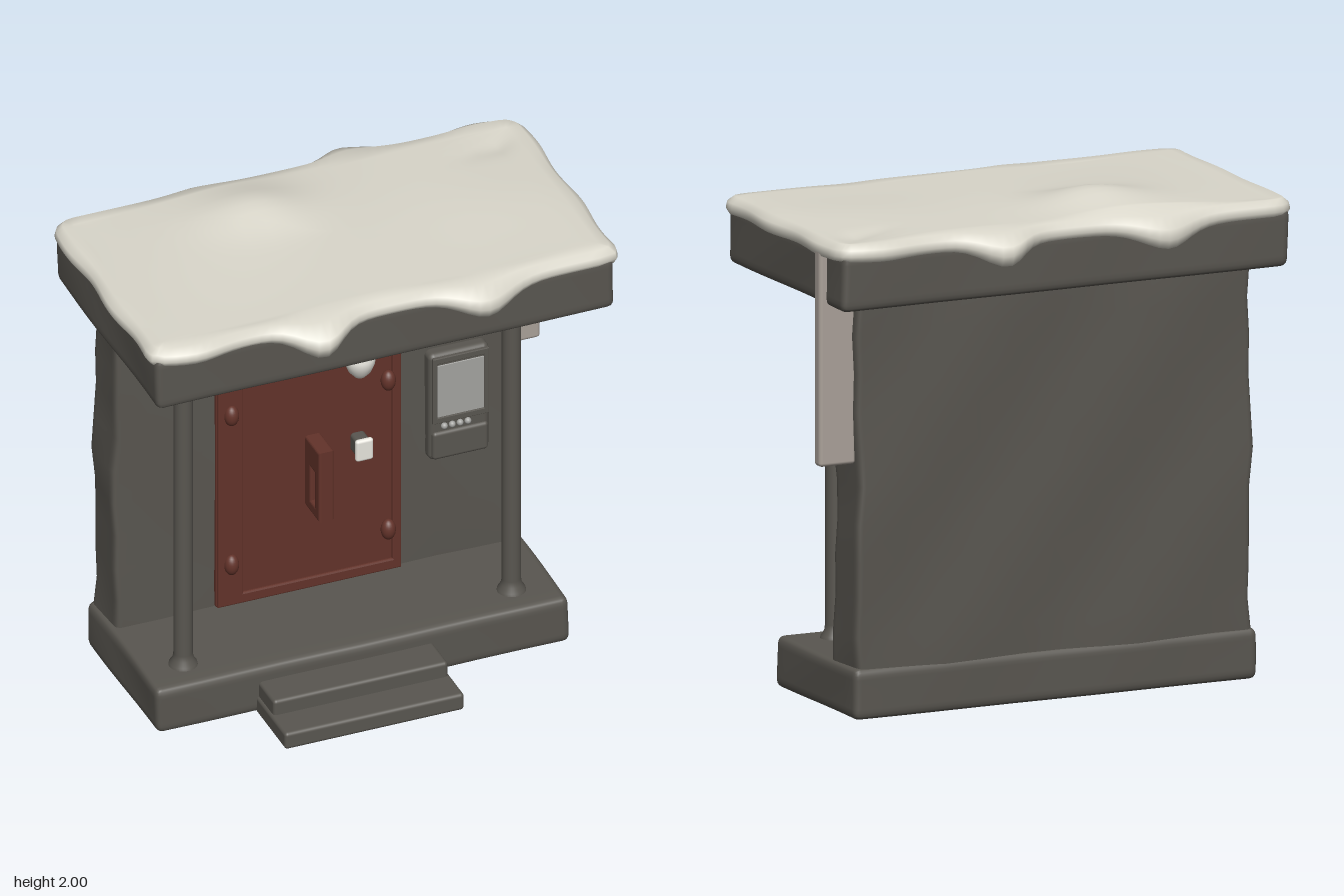
import * as THREE from 'three';
import { mergeVertices } from 'three/addons/utils/BufferGeometryUtils.js';
import { RoundedBoxGeometry } from 'three/addons/geometries/RoundedBoxGeometry.js';

const paint = (name, color) => {
  const m = new THREE.MeshStandardMaterial({ color });
  m.name = name;
  return m;
};
const gauss = (d, w) => Math.exp(-(d * d) / (w * w));
const clamp = THREE.MathUtils.clamp;

// Soft-edged box between two corners, with gently wavy sides like worn stone
function stoneBox([x0, y0, z0], [x1, y1, z1], r, wobble) {
  const n = 14;
  const geo = new THREE.BoxGeometry(1, 1, 1, n, n, n);
  geo.deleteAttribute('normal');
  geo.deleteAttribute('uv');
  const half = [(x1 - x0) / 2, (y1 - y0) / 2, (z1 - z0) / 2];
  const mid = [(x0 + x1) / 2, (y0 + y1) / 2, (z0 + z1) / 2];
  // keep two grid lines inside each rounded edge
  const place = (v, h) => {
    const k = Math.round((v + 0.5) * n);
    const e = Math.min(k, n - k);
    if (e <= 2) return Math.sign(v) * (h - [0, 0.45, 1][e] * r);
    return ((k - n / 2) / (n / 2 - 2)) * (h - r);
  };
  const pos = geo.attributes.position;
  for (let i = 0; i < pos.count; i++) {
    const p = new THREE.Vector3(...half.map((h, a) => place(pos.getComponent(i, a), h)));
    const inner = new THREE.Vector3(...p.toArray().map((v, a) => clamp(v, r - half[a], half[a] - r)));
    const out = p.clone().sub(inner);
    if (out.lengthSq() > 0) p.copy(inner).addScaledVector(out.normalize(), r);
    p.add(new THREE.Vector3(...mid));
    const { x, y, z } = p;
    pos.setXYZ(i,
      x + wobble * Math.sin(y * 11 + z * 7) * Math.sin(y * 4 + 1),
      y,
      z + wobble * 0.5 * Math.sin(x * 8 + y * 6));
  }
  const smooth = mergeVertices(geo, 1e-5);
  smooth.computeVertexNormals();
  return smooth;
}

// Snow blanket made of rings: tucked underside, drooping lip, then the top
function snowGeometry() {
  const hx = 0.975, hz = 0.52, r = 0.07, per = 48;
  const sides = [(u) => [u * hx, hz], (u) => [hx, -u * hz], (u) => [-u * hx, -hz], (u) => [-hx, u * hz]];
  const top = (x, z) => 1.925
    + 0.05 * gauss(Math.hypot(x + 0.23, (z + 0.25) * 1.3), 0.2)
    + 0.025 * gauss(Math.hypot(x + 0.25, z + 0.2), 0.45)
    + 0.015 * gauss(Math.hypot(x - 0.7, z), 0.3)
    + 0.006 * Math.sin(x * 7 + z * 4) - 0.02 * gauss(Math.hypot(x - 0.8, z + 0.35), 0.06);
  const outline = [];
  sides.forEach((side, s) => {
    for (let i = 0; i < per; i++) {
      const [px, pz] = side((i / per) * 2 - 1);
      const ix = clamp(px, r - hx, hx - r), iz = clamp(pz, r - hz, hz - r);
      const len = Math.hypot(px - ix, pz - iz);
      const nx = (px - ix) / len, nz = (pz - iz) / len;
      // the same drips run along front and back, turned half around
      const u = s === 0 ? px : -px;
      const drip = s % 2 === 0
        ? 0.105 * gauss(u + 0.29, 0.12) + 0.07 * gauss(u - 0.39, 0.14) + 0.03 * gauss(u + 0.8, 0.12)
        : 0.008 + 0.008 * Math.sin(pz * 14);
      const sag = s % 2 === 0 ? 0.045 * gauss(u + 0.31, 0.1) + 0.055 * gauss(u - 0.42, 0.14) : 0;
      outline.push({ x: ix + nx * r, z: iz + nz * r, nx, nz, drip, sag });
    }
  });
  const offset = (o, d) => [o.x + o.nx * d, o.z + o.nz * d];
  const ring = (d, y) => (o) => {
    const [x, z] = offset(o, d(o));
    return [x, y(o, x, z), z];
  };
  const rings = [
    ring(() => -0.05, () => 1.85),
    ring((o) => o.drip - 0.005, (o) => 1.86 - o.sag - 0.15 * o.drip),
    ring((o) => o.drip + 0.008, (o) => 1.88 - o.sag * 0.9),
    ring((o) => o.drip + 0.002, (o) => 1.905 - o.sag * 0.6),
    ring((o) => o.drip * 0.45 - 0.02, (o) => 1.927 - o.sag * 0.2),
    ring(() => -0.06, (o, x, z) => top(x, z)),
    ...[0.85, 0.75, 0.65, 0.55, 0.45, 0.35, 0.25, 0.15, 0.07, 0].map((k) => (o) =>
      [o.x * k, top(o.x * k, o.z * k), o.z * k]),
  ];
  const n = outline.length, pts = [], idx = [];
  rings.forEach((f) => outline.forEach((o) => pts.push(...f(o))));
  for (let j = 0; j < rings.length - 1; j++) {
    for (let i = 0; i < n; i++) {
      const a = j * n + i, b = j * n + ((i + 1) % n);
      idx.push(a, b, b + n, a, b + n, a + n);
    }
  }
  const geo = new THREE.BufferGeometry();
  geo.setAttribute('position', new THREE.Float32BufferAttribute(pts, 3));
  geo.setIndex(idx);
  const merged = mergeVertices(geo, 1e-5);
  merged.computeVertexNormals();
  return merged;
}

// Rectangular outline with an optional rectangular hole
function frameShape(x0, y0, x1, y1, hole) {
  const rect = (T, a, b, c, d) => new T([[a, b], [c, b], [c, d], [a, d]].map((p) => new THREE.Vector2(...p)));
  const s = rect(THREE.Shape, x0, y0, x1, y1);
  if (hole) s.holes.push(rect(THREE.Path, ...hole));
  return s;
}

export function createModel() {
  const stone = paint('dark stone', 0x595650);
  const rust = paint('rust red', 0x63332a);
  const snow = paint('snow', 0xd9d6ca);
  const white = paint('white', 0xf0eee6);
  const glass = paint('pale grey glass', 0xa3a3a0);
  const board = paint('warm grey board', 0xaaa199);

  const model = new THREE.Group();
  const add = (name, geo, mat, x = 0, y = 0, z = 0) => {
    const m = new THREE.Mesh(geo, mat);
    m.name = name;
    m.position.set(x, y, z);
    model.add(m);
    return m;
  };
  const block = (name, mat, [x0, y0, z0], [x1, y1, z1], r) =>
    add(name, new RoundedBoxGeometry(x1 - x0, y1 - y0, z1 - z0, 3, r), mat,
      (x0 + x1) / 2, (y0 + y1) / 2, (z0 + z1) / 2);
  const lathe = (pts) => new THREE.LatheGeometry(pts.map((p) => new THREE.Vector2(...p)), 32);

  // Main masonry
  add('base', stoneBox([-0.88, 0, -0.41], [0.86, 0.205, 0.3], 0.03, 0.004), stone);
  add('wall', stoneBox([-0.86, 0.15, -0.4], [0.84, 1.7, -0.175], 0.025, 0.012), stone);
  add('roof', stoneBox([-0.97, 1.655, -0.515], [0.96, 1.89, 0.52], 0.03, 0.004), stone);
  add('snow', snowGeometry(), snow, -0.005);

  // Steps
  block('lowerStep', stone, [-0.46, 0, 0.2], [0.295, 0.075, 0.59], 0.015);
  block('upperStep', stone, [-0.45, 0.03, 0.2], [0.285, 0.14, 0.45], 0.015);

  // Posts with flared feet
  for (const x of [-0.71, 0.672]) {
    add('post', lathe([[0.06, 0.195], [0.055, 0.215], [0.042, 0.235], [0.038, 0.26], [0.038, 1.67]]), stone, x, 0, 0.155);
  }

  // Hanging lamp
  add('lampSocket', lathe([[0, 1.585], [0.036, 1.59], [0.045, 1.62], [0.047, 1.67]]), stone, -0.018, 0, 0.28);
  add('lampBulb', lathe([[0, 1.437], [0.022, 1.443], [0.046, 1.47], [0.06, 1.505], [0.062, 1.53],
    [0.055, 1.56], [0.042, 1.59], [0.034, 1.615]]), white, -0.018, 0, 0.28);

  // Sign above the door
  block('signFrame', stone, [-0.165, 1.375, -0.2], [0.135, 1.49, -0.145], 0.015);
  block('signPlate', glass, [-0.15, 1.39, -0.149], [0.12, 1.475, -0.141], 0.003);

  // Door with raised rim and bolts
  block('door', rust, [-0.44, 0.205, -0.2], [0.34, 1.35, -0.16], 0.008);
  const rim = new THREE.ExtrudeGeometry(
    frameShape(-0.43, 0.215, 0.33, 1.34, [-0.335, 0.25, 0.305, 1.235]),
    { depth: 0.006, bevelThickness: 0.006, bevelSize: 0.006, bevelSegments: 2 });
  add('doorRim', rim, rust, 0, 0, -0.16);
  for (const x of [-0.38, 0.28]) {
    for (const y of [0.4, 1.09]) {
      add('doorBolt', new THREE.SphereGeometry(0.03, 20, 14), rust, x, y, -0.148).scale.y = 1.5;
    }
  }

  // Door handle, a flat loop standing out from the door
  const handle = new THREE.ExtrudeGeometry(
    frameShape(-0.16, 0.6, -0.03, 0.9, [-0.12, 0.63, -0.056, 0.805]),
    { depth: 0.045, bevelThickness: 0.01, bevelSize: 0.01, bevelSegments: 3 });
  handle.rotateY(-Math.PI / 2);
  add('doorHandle', handle, rust, -0.01);

  // Door knob
  block('knobBase', stone, [0.125, 0.795, -0.17], [0.185, 0.875, -0.09], 0.015);
  block('knobCap', white, [0.118, 0.785, -0.105], [0.192, 0.882, -0.08], 0.012);

  // Wall terminal
  block('terminalBody', stone, [0.445, 0.68, -0.2], [0.7, 1.17, -0.125], 0.025);
  add('terminalFrame', new THREE.ExtrudeGeometry(
    frameShape(0.458, 0.86, 0.688, 1.155, [0.472, 0.88, 0.674, 1.135]),
    { depth: 0.01, bevelThickness: 0.003, bevelSize: 0.003, bevelSegments: 2 }), stone, 0, 0, -0.128);
  block('terminalScreen', glass, [0.472, 0.88, -0.127], [0.674, 1.12, -0.121], 0.002);
  block('terminalLedge', stone, [0.455, 0.69, -0.15], [0.69, 0.815, -0.113], 0.015);
  for (let i = 0; i < 4; i++) {
    add('terminalButton', new THREE.SphereGeometry(0.014, 14, 10), glass, 0.505 + i * 0.033, 0.838, -0.122);
  }

  // Board hanging beside the wall
  block('sideBoard', board, [0.83, 1.015, -0.362], [0.988, 1.885, -0.308], 0.015);

  return model;
}
